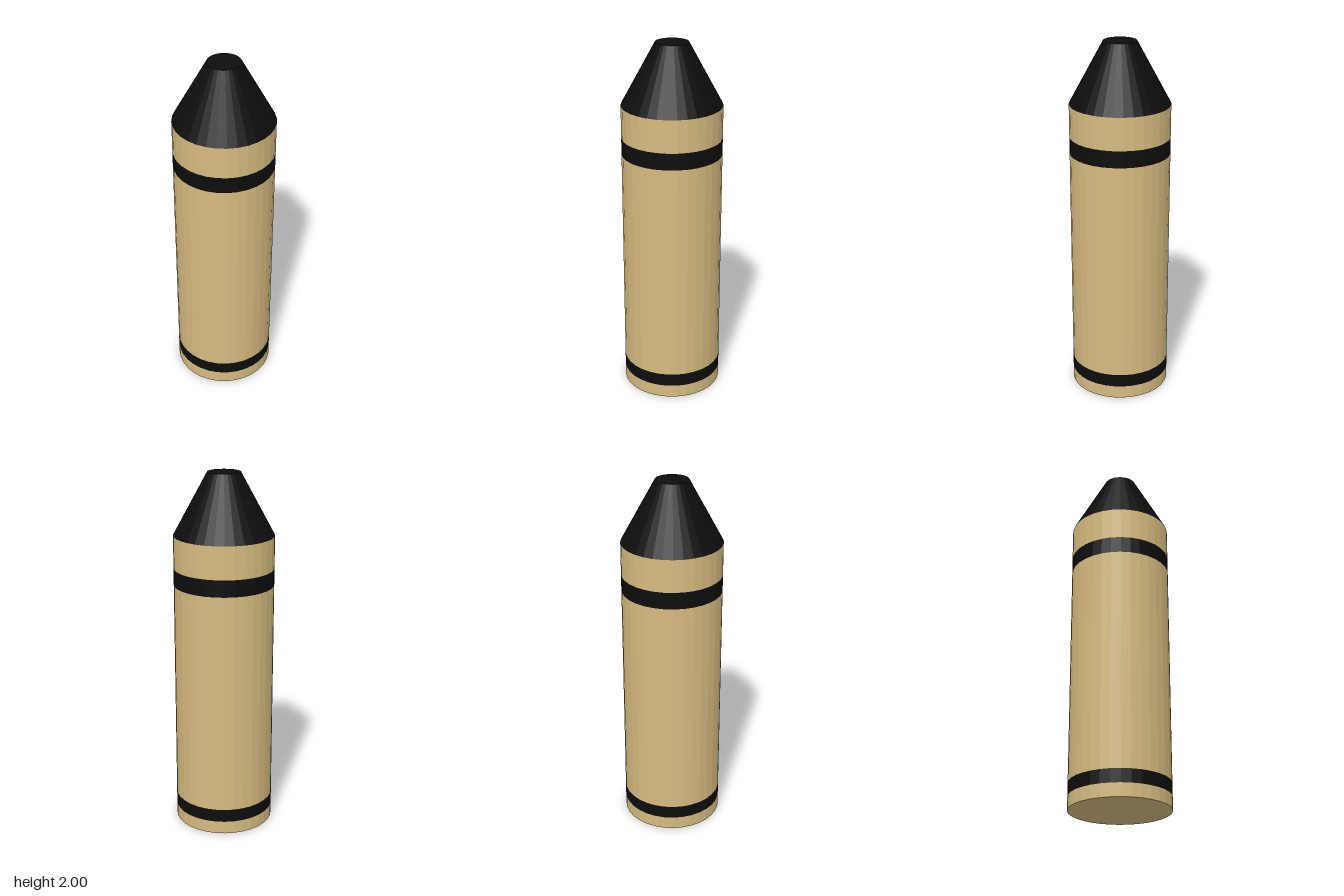
import * as THREE from 'three';

const SIDES = 32;
const RADIUS = 0.275;
const TIP_RADIUS = 0.09;

export function createModel() {
  const group = new THREE.Group();
  group.name = 'crayon';
  const tan = new THREE.MeshStandardMaterial({ color: 0xd6bb80, flatShading: true });
  const black = new THREE.MeshStandardMaterial({ color: 0x0d0d0d, flatShading: true });

  const add = (name, geometry, material, y) => {
    const mesh = new THREE.Mesh(geometry, material);
    mesh.name = name;
    mesh.position.y = y;
    group.add(mesh);
    return mesh;
  };

  // Open ring of the shaft or cone between two heights
  const section = (name, y0, y1, material, topRadius = RADIUS) =>
    add(name, new THREE.CylinderGeometry(topRadius, RADIUS, y1 - y0, SIDES, 1, true), material, (y0 + y1) / 2);

  // Paper wrapper with two dark bands, flush with each other
  section('lowerWrapper', 0, 0.073, tan);
  section('lowerBand', 0.073, 0.147, black);
  section('middleWrapper', 0.147, 1.387, tan);
  section('upperBand', 1.387, 1.48, black);
  section('upperWrapper', 1.48, 1.66, tan);

  // Tapered point with a blunt end
  section('point', 1.66, 2, black, TIP_RADIUS);
  add('pointEnd', new THREE.CircleGeometry(TIP_RADIUS, SIDES), black, 2).rotation.x = -Math.PI / 2;

  // Flat base
  add('base', new THREE.CircleGeometry(RADIUS, SIDES), tan, 0).rotation.x = Math.PI / 2;

  return group;
}
